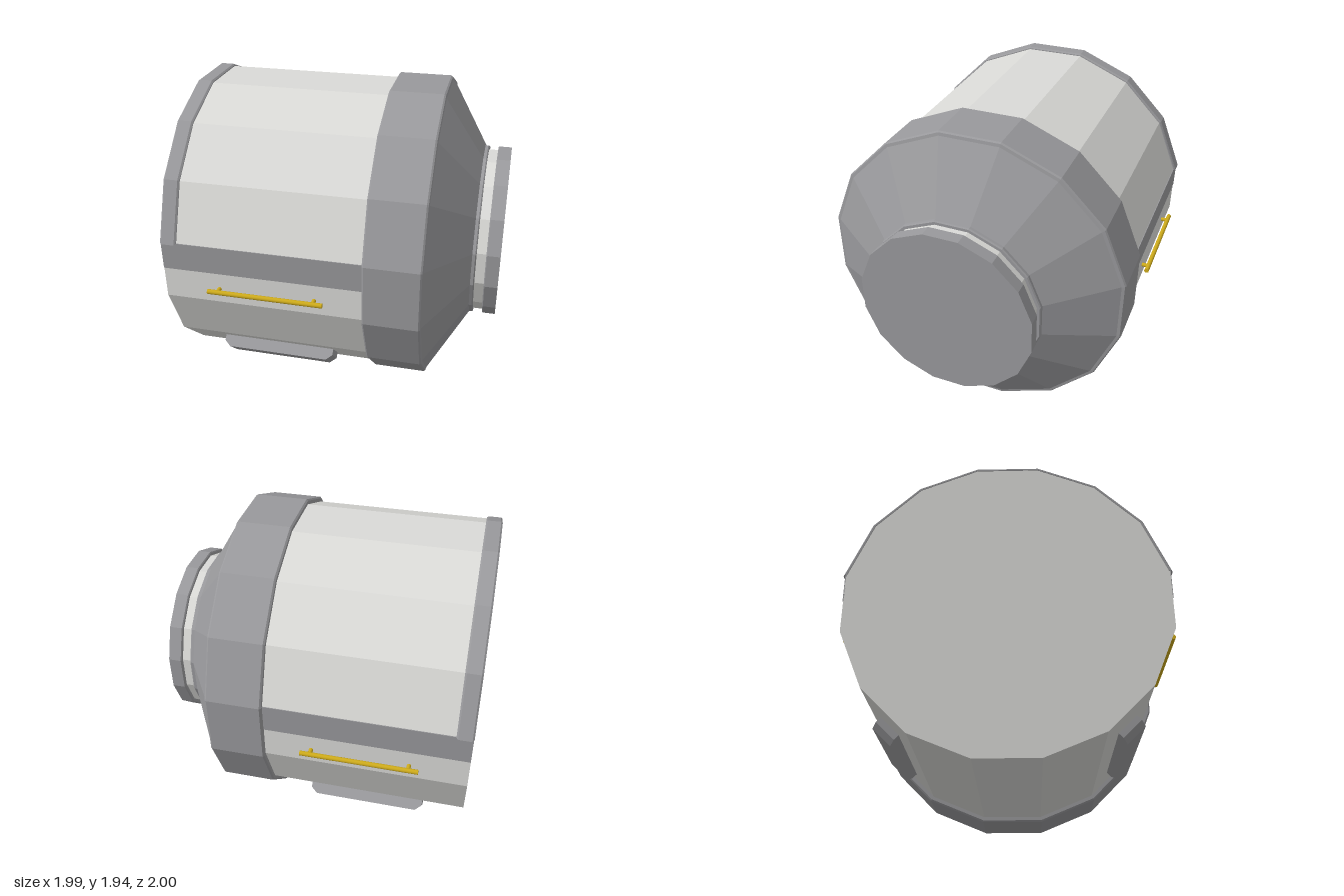
import * as THREE from 'three';

const SIDES = 16;
const STEP = (Math.PI * 2) / SIDES;
const AXIS_Y = 0.973; // height of the capsule's long axis

const mat = (name, color, flatShading = true) => {
  const m = new THREE.MeshStandardMaterial({ color, flatShading });
  m.name = name;
  return m;
};

export function createModel() {
  const white = mat('offWhite', 0xdadad7);
  const grey = mat('grey', 0x99999c);
  const yellow = mat('yellow', 0xcfac1c, false);

  const model = new THREE.Group();
  model.name = 'capsule';

  const add = (name, geometry, material, parent = model) => {
    const mesh = new THREE.Mesh(geometry, material);
    mesh.name = name;
    parent.add(mesh);
    return mesh;
  };

  // Sixteen-sided solid around the x axis, from [radius, x] pairs
  const turned = (name, profile, material) => {
    const points = profile.map(([r, x]) => new THREE.Vector2(r, x));
    const geometry = new THREE.LatheGeometry(points, SIDES, STEP / 2);
    geometry.rotateZ(-Math.PI / 2);
    add(name, geometry, material).position.y = AXIS_Y;
  };

  turned('hull', [[0, -0.993], [0.96, -0.993], [0.96, 0.25]], white);
  turned('collarAndCone', [
    [0.94, 0.235], [0.982, 0.235], [0.9915, 0.245], [0.9915, 0.57],
    [0.984, 0.58], [0.965, 0.584], [0.56, 0.825], [0.56, 0.843],
    [0.553, 0.85], [0.5, 0.85],
  ], grey);
  turned('neck', [[0.535, 0.84], [0.535, 0.915]], white);
  turned('hatch', [
    [0.5, 0.908], [0.552, 0.908], [0.559, 0.914], [0.559, 0.993], [0, 0.993],
  ], grey);

  // Raised rim over the upper half of the rear end
  const rim = new THREE.Shape();
  const arc = (r, k) => {
    const a = STEP / 2 + k * STEP;
    return [r * Math.cos(a), r * Math.sin(a)];
  };
  rim.moveTo(...arc(0.966, 0));
  for (let k = 1; k <= 7; k++) rim.lineTo(...arc(0.966, k));
  for (let k = 7; k >= 0; k--) rim.lineTo(...arc(0.955, k));
  rim.closePath();
  const rimGeometry = new THREE.ExtrudeGeometry(rim, {
    depth: 0.08, bevelEnabled: true, bevelSize: 0.008, bevelThickness: 0.01, bevelSegments: 1,
  });
  rimGeometry.rotateY(Math.PI / 2);
  add('rearRim', rimGeometry, grey).position.set(-0.985, AXIS_Y, 0);

  // Foot block: outer edges of both ends are chamfered
  const foot = new THREE.Shape([
    [-0.73, 0.92], [0, 0.92], [0, 0.98], [-0.04, 1.015], [-0.69, 1.015], [-0.73, 0.98],
  ].map(([x, d]) => new THREE.Vector2(x, d)));
  const footGeometry = new THREE.ExtrudeGeometry(foot, { depth: 0.154, bevelEnabled: false });
  footGeometry.translate(0, 0, -0.077);

  const rodGeometry = new THREE.CylinderGeometry(0.015, 0.015, 0.71, 12).rotateZ(Math.PI / 2);
  const postGeometry = new THREE.CylinderGeometry(0.013, 0.013, 0.06, 10).rotateX(Math.PI / 2);

  // Details on the front and back flanks
  for (const side of [1, -1]) {
    const prefix = side > 0 ? 'front' : 'back';

    add(prefix + 'Stripe', new THREE.BoxGeometry(1.232, 0.178, 0.008), grey)
      .position.set(-0.377, 1.074, side * 0.9415);

    const handrail = new THREE.Group();
    handrail.name = prefix + 'Handrail';
    handrail.position.set(-0.35, 0.88, side * 0.985);
    add('rod', rodGeometry, yellow, handrail);
    for (const x of [-0.295, 0.295]) {
      add('post', postGeometry, yellow, handrail).position.set(x, 0, -side * 0.03);
    }
    model.add(handrail);

    const block = add(prefix + 'Foot', footGeometry, grey);
    block.rotation.x = side * Math.PI * 0.75;
    // Shift slightly up along the sloping facet
    block.position.set(0, AXIS_Y + 0.007, side * 0.007);
  }

  return model;
}
